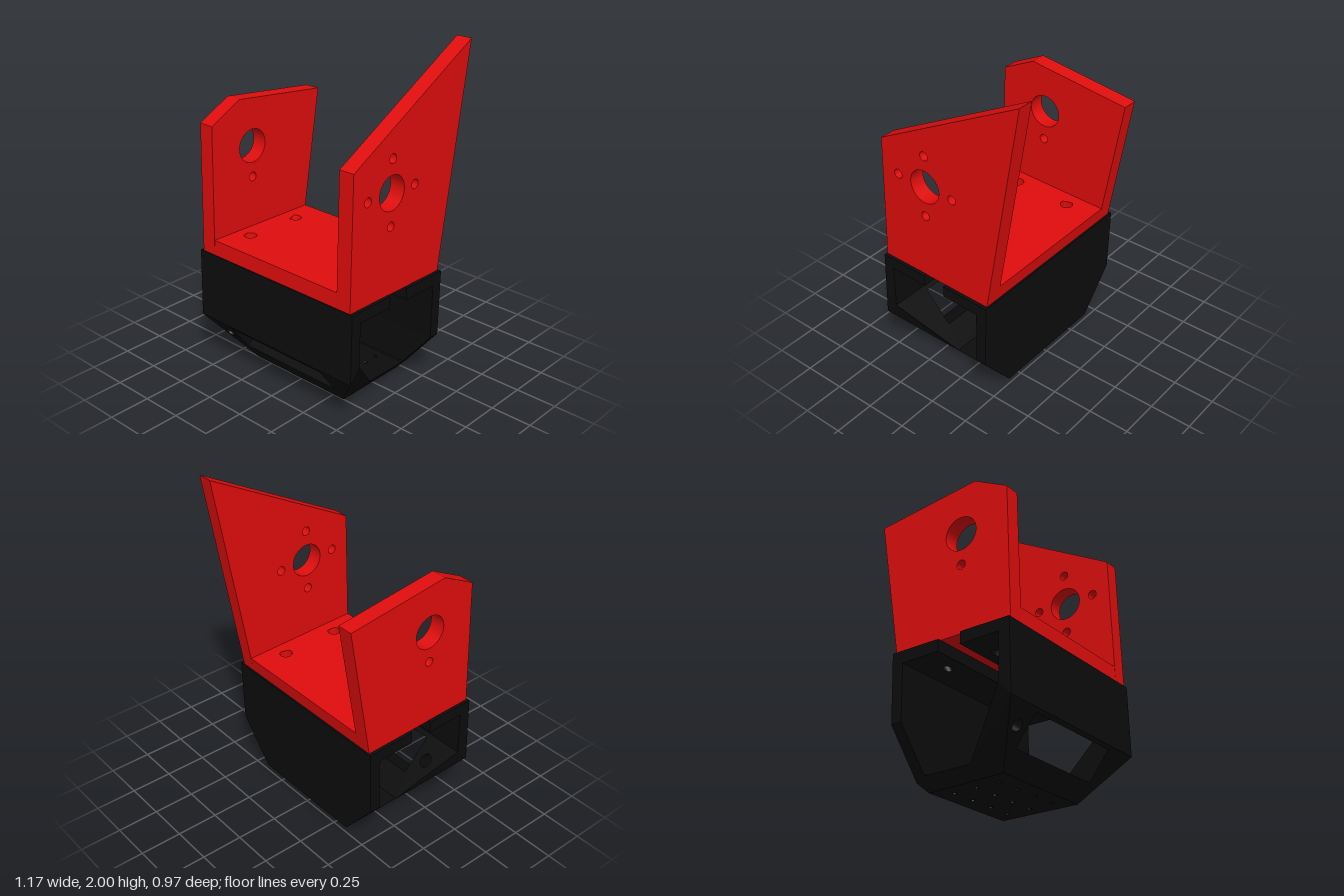
import * as THREE from 'three';

const red = new THREE.MeshStandardMaterial({ color: 0xe00d0d });
const black = new THREE.MeshStandardMaterial({ color: 0x0c0c0c });

// Half width of the housing at a height: straight above, tapering below
const halfWidth = (y) => Math.min(0.585, 0.33 + (0.255 * y) / 0.31);

function addHole(shape, x, y, r) {
  const path = new THREE.Path();
  path.absarc(x, y, r, 0, Math.PI * 2, true);
  shape.holes.push(path);
}

// Wall running across x between an outer and an inner edge line, given as [z, y] points.
// Holes are { x, t, r } and windows { x, t0, t1 }, with t from 0 to 1 along the wall.
function wall(name, material, o0, o1, i0, i1, width, holes = [], windows = []) {
  const len = Math.hypot(o1[0] - o0[0], o1[1] - o0[1]);
  const shape = new THREE.Shape([[-1, 0], [1, 0], [1, len], [-1, len]]
    .map(([x, t]) => new THREE.Vector2(x, t)));
  holes.forEach(({ x, t, r }) => addHole(shape, x, t * len, r));
  windows.forEach(({ x, t0, t1 }) => shape.holes.push(new THREE.Path([
    [-x, t0 * len], [-x, t1 * len], [x, t1 * len], [x, t0 * len],
  ].map(([a, b]) => new THREE.Vector2(a, b)))));

  const geo = new THREE.ExtrudeGeometry(shape, { depth: 1, bevelEnabled: false, curveSegments: 20 });
  const pos = geo.attributes.position;
  const mix = THREE.MathUtils.lerp;
  for (let i = 0; i < pos.count; i++) {
    const x = pos.getX(i), t = pos.getY(i) / len, d = pos.getZ(i);
    const z = mix(mix(o0[0], o1[0], t), mix(i0[0], i1[0], t), d);
    const y = mix(mix(o0[1], o1[1], t), mix(i0[1], i1[1], t), d);
    // the outline's ends follow the tapered sides
    const limit = Math.min(width, halfWidth(y));
    pos.setXYZ(i, Math.abs(x) > 0.99 ? Math.sign(x) * limit : x, y, z);
  }
  geo.computeVertexNormals();
  const mesh = new THREE.Mesh(geo, material);
  mesh.name = name;
  return mesh;
}

// Upright plate with an outline in [z, y] and holes [z, y, radius]
function sidePlate(name, x0, outline, holes) {
  const shape = new THREE.Shape(outline.map(([z, y]) => new THREE.Vector2(-z, y)));
  holes.forEach(([z, y, r]) => addHole(shape, -z, y, r));
  const geo = new THREE.ExtrudeGeometry(shape, { depth: 0.095, bevelEnabled: false, curveSegments: 24 });
  geo.rotateY(Math.PI / 2).translate(x0, 0, 0);
  const mesh = new THREE.Mesh(geo, red);
  mesh.name = name;
  return mesh;
}

export function createModel() {
  const model = new THREE.Group();
  model.name = 'servoBracket';

  // Red U-shaped bracket
  const bracket = new THREE.Group();
  bracket.name = 'bracket';
  const axle = [0.15, 1.308, 0.1];
  const lowerScrew = [0.155, 1.12, 0.027];
  bracket.add(sidePlate('tallSidePlate', 0.47,
    [[0.47, 0.725], [-0.265, 0.71], [-0.483, 2], [0.45, 1.5]],
    [axle, lowerScrew, [0.34, 1.315, 0.027], [-0.038, 1.303, 0.027], [0.147, 1.498, 0.027]]));
  bracket.add(sidePlate('shortSidePlate', -0.565,
    [[0.47, 0.725], [-0.265, 0.71], [-0.4, 1.525], [0.24, 1.605], [0.45, 1.5]],
    [axle, lowerScrew]));
  const pair = (t) => [-0.375, 0.375].map((x) => ({ x, t, r: 0.037 }));
  bracket.add(wall('basePlate', red, [-0.28, 0.802], [0.466, 0.82], [-0.265, 0.71], [0.47, 0.725],
    0.47, [...pair(0.25), ...pair(0.745)]));
  model.add(bracket);

  // Black housing: a tube open at both sides, with a slot along the top
  const outer = [[0.17, 0.722], [0.475, 0.728], [0.485, 0.31], [0.27, 0.018], [-0.21, 0],
    [-0.26, 0.05], [-0.265, 0.31], [-0.275, 0.71], [0.03, 0.717]];
  const inner = [[0.17, 0.652], [0.41, 0.66], [0.41, 0.39], [0.105, 0.082], [-0.19, 0.075],
    [-0.195, 0.08], [-0.2, 0.31], [-0.205, 0.64], [0.03, 0.647]];
  const names = ['frontTopFlange', 'frontWall', 'slopedFront', 'floor', 'rearBottomEdge',
    'lowerRearWall', 'upperRearWall', 'rearTopFlange'];

  // Floor perforation
  const floorHoles = [];
  for (const x of [-0.24, -0.08, 0.08, 0.24])
    for (const t of [0.2, 0.5, 0.8]) floorHoles.push({ x, t, r: 0.014 });

  const holes = {
    frontTopFlange: pair(0.344),
    rearTopFlange: pair(0.59),
    slopedFront: [-0.43, 0.43].map((x) => ({ x, t: 0.34, r: 0.035 })),
    floor: floorHoles,
  };
  const windows = { slopedFront: [{ x: 0.35, t0: 0.07, t1: 0.63 }] };

  const housing = new THREE.Group();
  housing.name = 'housing';
  names.forEach((name, i) => housing.add(wall(name, black, outer[i], outer[i + 1],
    inner[i], inner[i + 1], 0.585, holes[name], windows[name])));
  model.add(housing);

  return model;
}
